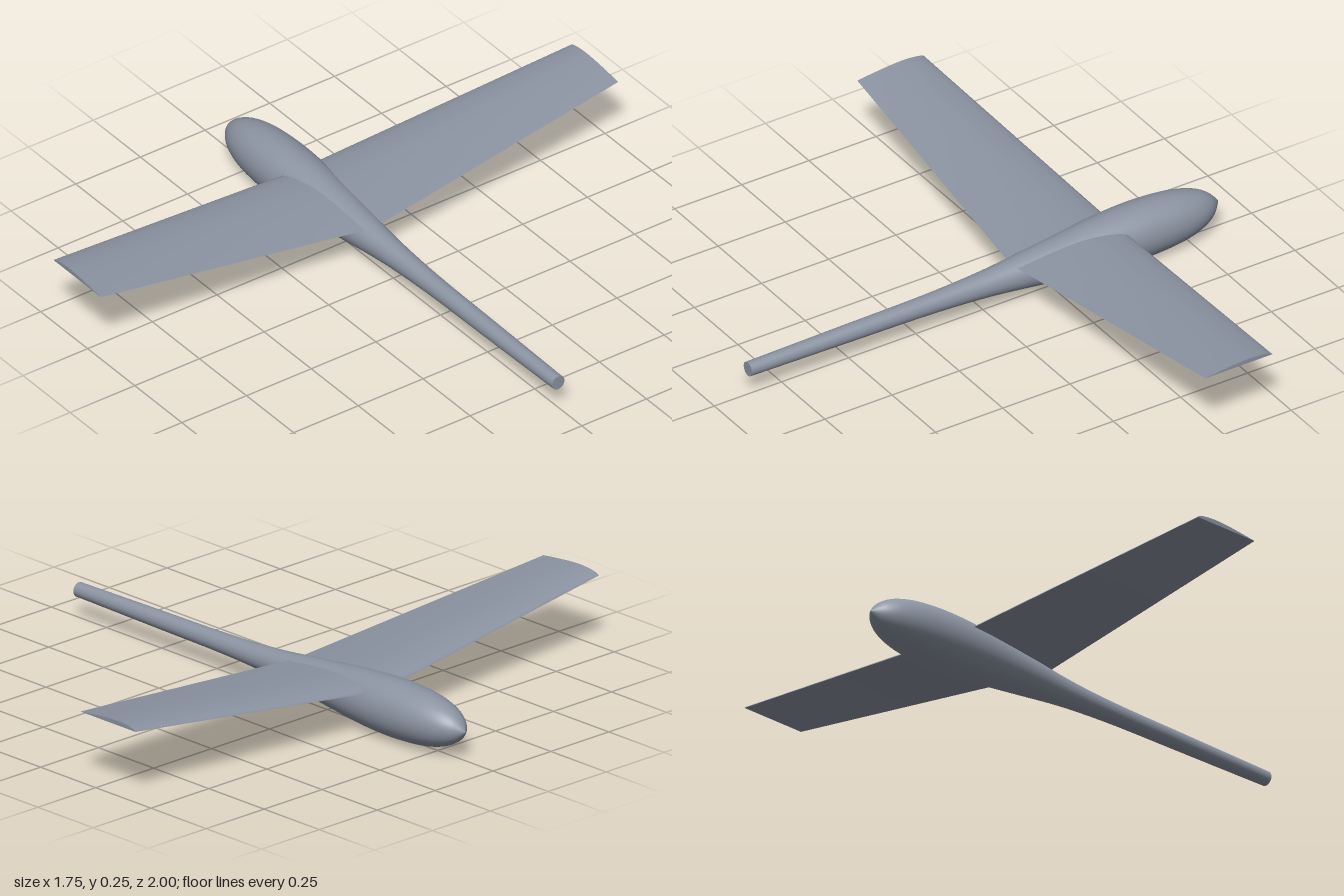
import * as THREE from 'three';
import { toCreasedNormals } from 'three/addons/utils/BufferGeometryUtils.js';

const AXIS_Y = 0.093;
const TAIL_X = 0.875;
const TAIL_R = 0.024;

// Turned body along x: station and radius, nose to tail
function fuselageGeometry() {
  const profile = [
    [-0.875, 0], [-0.862, 0.018], [-0.835, 0.044], [-0.79, 0.067], [-0.72, 0.084],
    [-0.63, 0.092], [-0.54, 0.093], [-0.43, 0.087], [-0.3, 0.074], [-0.18, 0.061],
    [-0.05, 0.047], [0.08, 0.038], [0.25, 0.032], [0.5, 0.029], [TAIL_X, TAIL_R],
  ].map(([x, r]) => new THREE.Vector2(r, x));
  const points = new THREE.SplineCurve(profile).getPoints(70);
  points.forEach((p) => { p.x = Math.max(p.x, 0); });
  return new THREE.LatheGeometry(points, 48).rotateZ(-Math.PI / 2);
}

// Flat-bottomed aerofoil swept over the full span, then tapered and raised to the tips
function wingGeometry() {
  const upper = [[0, 0], [0.02, 0.02], [0.1, 0.043], [0.22, 0.057], [0.35, 0.061],
    [0.55, 0.05], [0.8, 0.025], [1, 0]].map(([x, y]) => new THREE.Vector2(x, y));
  const shape = new THREE.Shape(new THREE.SplineCurve(upper).getPoints(28));
  const geometry = new THREE.ExtrudeGeometry(shape, { depth: 2, steps: 2, bevelEnabled: false });
  geometry.translate(0, 0, -1);
  const pos = geometry.attributes.position;
  for (let i = 0; i < pos.count; i++) {
    const span = Math.abs(pos.getZ(i));
    const chord = 0.395 - 0.145 * span;
    pos.setX(i, -0.5 + 0.07 * span + pos.getX(i) * chord);
    pos.setY(i, 0.13 + 0.105 * span + pos.getY(i) * chord);
  }
  return toCreasedNormals(geometry, 0.5);
}

export function createModel() {
  const group = new THREE.Group();
  group.name = 'glider';
  const paint = new THREE.MeshStandardMaterial({ color: 0x8b93a1 });
  paint.name = 'blue grey';

  const add = (name, geometry) => {
    const mesh = new THREE.Mesh(geometry, paint);
    mesh.name = name;
    group.add(mesh);
    return mesh;
  };

  add('fuselage', fuselageGeometry()).position.y = AXIS_Y;

  // Flat end of the tail boom
  const cap = new THREE.CircleGeometry(TAIL_R, 48).rotateY(Math.PI / 2);
  add('tailCap', cap).position.set(TAIL_X, AXIS_Y, 0);

  add('wing', wingGeometry());
  return group;
}
